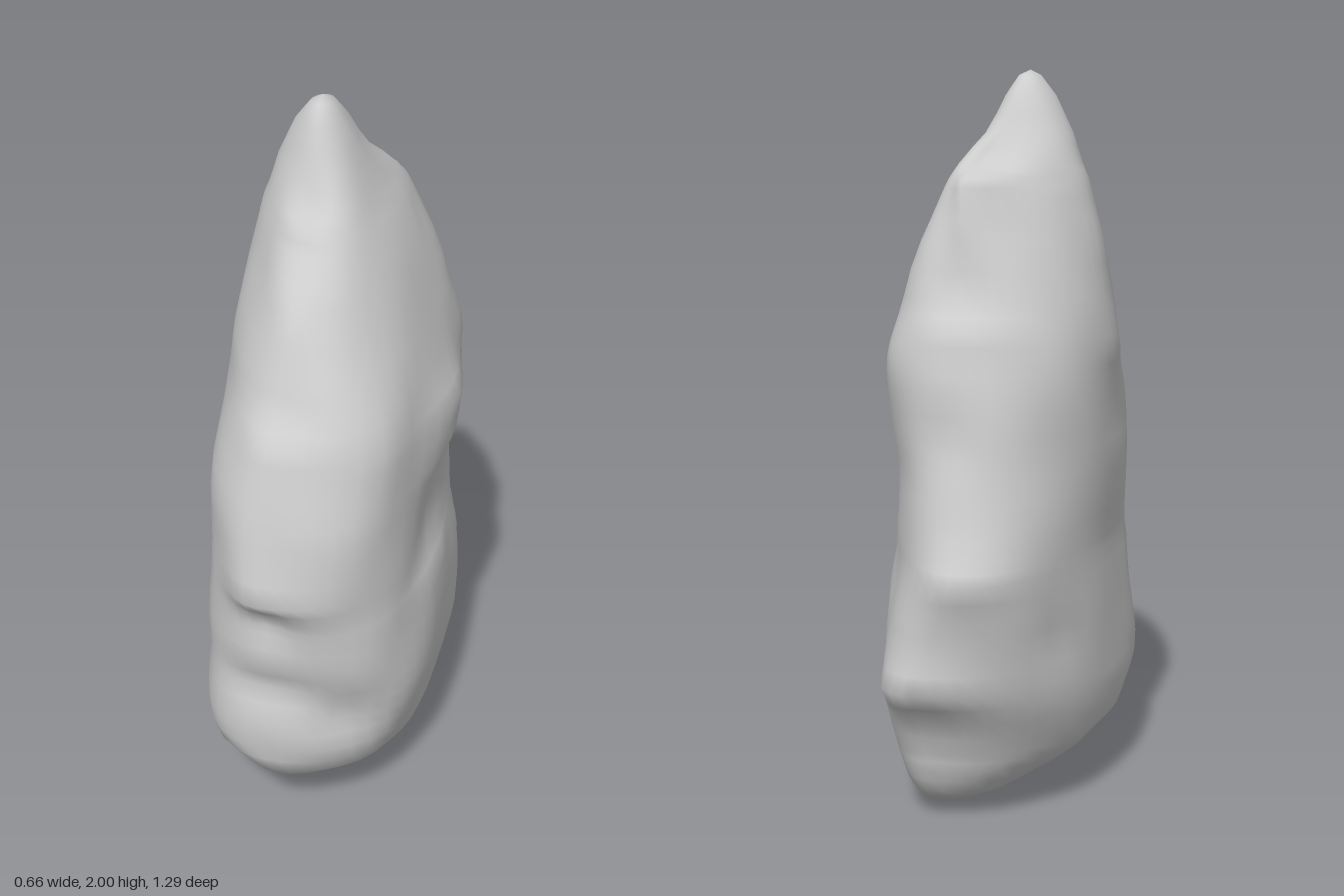
import * as THREE from 'three';

// Outline by height: y, min x, max x, min z, max z
const RINGS = [
  [0.012, 0.04, 0.15, -0.22, 0.0], [0.04, -0.06, 0.21, -0.4, 0.1], [0.08, -0.14, 0.24, -0.45, 0.24],
  [0.15, -0.26, 0.27, -0.48, 0.4], [0.2, -0.31, 0.28, -0.49, 0.56], [0.3, -0.335, 0.3, -0.53, 0.575],
  [0.4, -0.33, 0.32, -0.62, 0.57], [0.5, -0.32, 0.325, -0.605, 0.545], [0.6, -0.31, 0.325, -0.615, 0.585],
  [0.7, -0.3, 0.315, -0.645, 0.59], [0.76, -0.305, 0.285, -0.61, 0.6], [0.84, -0.315, 0.27, -0.575, 0.65],
  [0.95, -0.32, 0.28, -0.545, 0.62], [1.05, -0.31, 0.315, -0.525, 0.595], [1.17, -0.31, 0.325, -0.5, 0.56],
  [1.25, -0.32, 0.285, -0.48, 0.535], [1.32, -0.31, 0.26, -0.465, 0.465], [1.4, -0.295, 0.235, -0.4, 0.43],
  [1.55, -0.275, 0.185, -0.365, 0.365], [1.66, -0.235, 0.14, -0.34, 0.24], [1.71, -0.225, 0.115, -0.325, 0.21],
  [1.75, -0.21, 0.09, -0.21, 0.15], [1.83, -0.185, 0.05, -0.155, 0.11], [1.93, -0.135, 0.005, -0.1, 0.07],
  [1.985, -0.09, -0.03, -0.045, 0.035],
];

// Cross-section by height: y, x of the front tip, z of the +x side, x of the back tip, z of the -x side,
// then the squareness of the corners (+x+z, -x+z, -x-z, +x-z)
const SECTIONS = [
  [0, 0.1, -0.1, 0.1, -0.1, 2.5, 2.4, 2.3, 2.4],
  [0.25, -0.06, 0.08, 0.11, 0.08, 2.8, 2.7, 2.5, 2.4],
  [0.4, -0.06, 0.17, 0.11, 0.1, 2.8, 2.6, 2.5, 2.3],
  [0.7, -0.04, 0.16, 0.0, 0.08, 2.8, 2.2, 2.25, 2.0],
  [0.95, -0.05, 0.05, 0.01, 0.02, 2.8, 2.1, 2.15, 1.9],
  [1.12, -0.05, -0.02, 0.02, -0.04, 2.9, 2.05, 2.1, 2.1],
  [1.3, -0.04, -0.06, 0.03, -0.05, 3.1, 1.7, 2.0, 2.6],
  [1.55, -0.03, -0.12, 0.04, -0.06, 2.8, 1.65, 1.9, 3.2],
  [1.7, -0.04, -0.15, 0.05, -0.05, 2.4, 1.65, 1.9, 3.8],
  [1.85, -0.05, -0.02, -0.04, -0.02, 2.2, 1.8, 2.1, 2.5],
  [2, -0.06, 0, -0.06, 0, 2, 2, 2, 2],
];

// Local lumps and dents: x, y, z, radius, amount outward
const BUMPS = [
  [-0.03, 0.74, 0.6, 0.1, -0.025], [-0.07, 0.4, 0.57, 0.15, 0.012], [0.16, 0.42, 0.5, 0.12, -0.04],
  [-0.27, 0.78, 0.35, 0.13, -0.025], [0.28, 0.65, -0.35, 0.13, -0.02], [0.18, 0.4, -0.56, 0.1, 0.02],
  [0.2, 1.2, 0.4, 0.15, 0.01], [-0.2, 1.65, -0.05, 0.1, 0.012], [0.05, 1.05, -0.53, 0.12, -0.02],
  [-0.25, 0.5, -0.4, 0.12, -0.02], [0.05, 1.45, -0.38, 0.1, -0.015], [0.22, 1.25, -0.35, 0.15, 0.02],
];

const SEGMENTS = 48;

// Reads a table at any height
function sample(table, y) {
  const i = Math.max(1, table.findIndex((row) => row[0] >= y));
  const a = table[i - 1], b = table[i];
  const t = (y - a[0]) / (b[0] - a[0]);
  return a.map((v, k) => v + (b[k] - v) * t);
}

// Outline averaged over nearby heights, so that notches stay local
function softOutline(y) {
  const h = Math.min(0.2, (y - 0.012) * 0.4, (1.985 - y) * 0.5);
  const rows = [-1, -0.67, -0.33, 0, 0.33, 0.67, 1].map((k) => sample(RINGS, y + k * h));
  return rows[0].map((_, k) => rows.reduce((sum, row) => sum + row[k], 0) / rows.length);
}

const ripple = (x, y, z) =>
  0.5 * Math.sin(11 * y + 7 * x + 4 * z) * Math.sin(9 * z - 5 * y + 1.3) +
  0.5 * Math.sin(17 * z + 8 * y + 0.7) * Math.sin(13 * x - 6 * y + 2.1);

function ringPoints(y) {
  const sharp = sample(RINGS, y), soft = softOutline(y);
  const [, frontX, rightZ, backX, leftZ, ...corners] = sample(SECTIONS, y);
  return Array.from({ length: SEGMENTS }, (_, j) => {
    const angle = (j / SEGMENTS) * Math.PI * 2;
    const c = Math.cos(angle), s = Math.sin(angle);
    const power = corners[Math.floor((4 * j) / SEGMENTS)];
    const round = Math.pow(Math.abs(c) ** power + Math.abs(s) ** power, -1 / power);

    // Each quarter runs between two of the four extreme points
    const kx = c > 0 ? 2 : 1, kz = s > 0 ? 4 : 3;
    const endX = soft[kx] + (sharp[kx] - soft[kx]) * c ** 20;
    const endZ = soft[kz] + (sharp[kz] - soft[kz]) * s ** 10;
    const midX = s > 0 ? frontX : backX, midZ = c > 0 ? rightZ : leftZ;
    const x = midX + (endX - midX) * Math.abs(c) * round;
    const z = midZ + (endZ - midZ) * Math.abs(s) * round;

    // Uneven surface, strongest between the extreme points
    let push = 0.012 * ripple(x, y, z) * Math.abs(Math.sin(2 * angle)) * Math.min(1, (soft[2] - soft[1]) / 0.4);
    for (const [bx, by, bz, r, amount] of BUMPS) {
      const d2 = (x - bx) ** 2 + (y - by) ** 2 + (z - bz) ** 2;
      push += amount * Math.exp((-2 * d2) / (r * r));
    }
    const nx = c / (soft[2] - soft[1]), nz = s / (soft[4] - soft[3]), n = Math.hypot(nx, nz);
    return [x + (nx / n) * push, y, z + (nz / n) * push];
  });
}

function rockGeometry() {
  // One extra ring halfway between each pair of outlines
  const heights = RINGS.flatMap(([y], i) => (i ? [(y + RINGS[i - 1][0]) / 2, y] : [y]));
  const positions = [0.1, 0, -0.08, ...heights.flatMap((y) => ringPoints(y).flat()), -0.06, 2, 0];

  const index = [];
  const at = (i, j) => 1 + i * SEGMENTS + (j % SEGMENTS);
  const top = positions.length / 3 - 1, last = heights.length - 1;
  for (let j = 0; j < SEGMENTS; j++) {
    index.push(0, at(0, j), at(0, j + 1));
    for (let i = 0; i < last; i++) {
      index.push(at(i, j), at(i + 1, j), at(i + 1, j + 1), at(i, j), at(i + 1, j + 1), at(i, j + 1));
    }
    index.push(at(last, j), top, at(last, j + 1));
  }

  const geometry = new THREE.BufferGeometry();
  geometry.setAttribute('position', new THREE.Float32BufferAttribute(positions, 3));
  geometry.setIndex(index);
  geometry.computeVertexNormals();
  return geometry;
}

export function createModel() {
  const group = new THREE.Group();
  group.name = 'standingRock';
  const rock = new THREE.Mesh(rockGeometry(), new THREE.MeshStandardMaterial({ color: 0xcccccc }));
  rock.name = 'rock';
  group.add(rock);
  return group;
}
